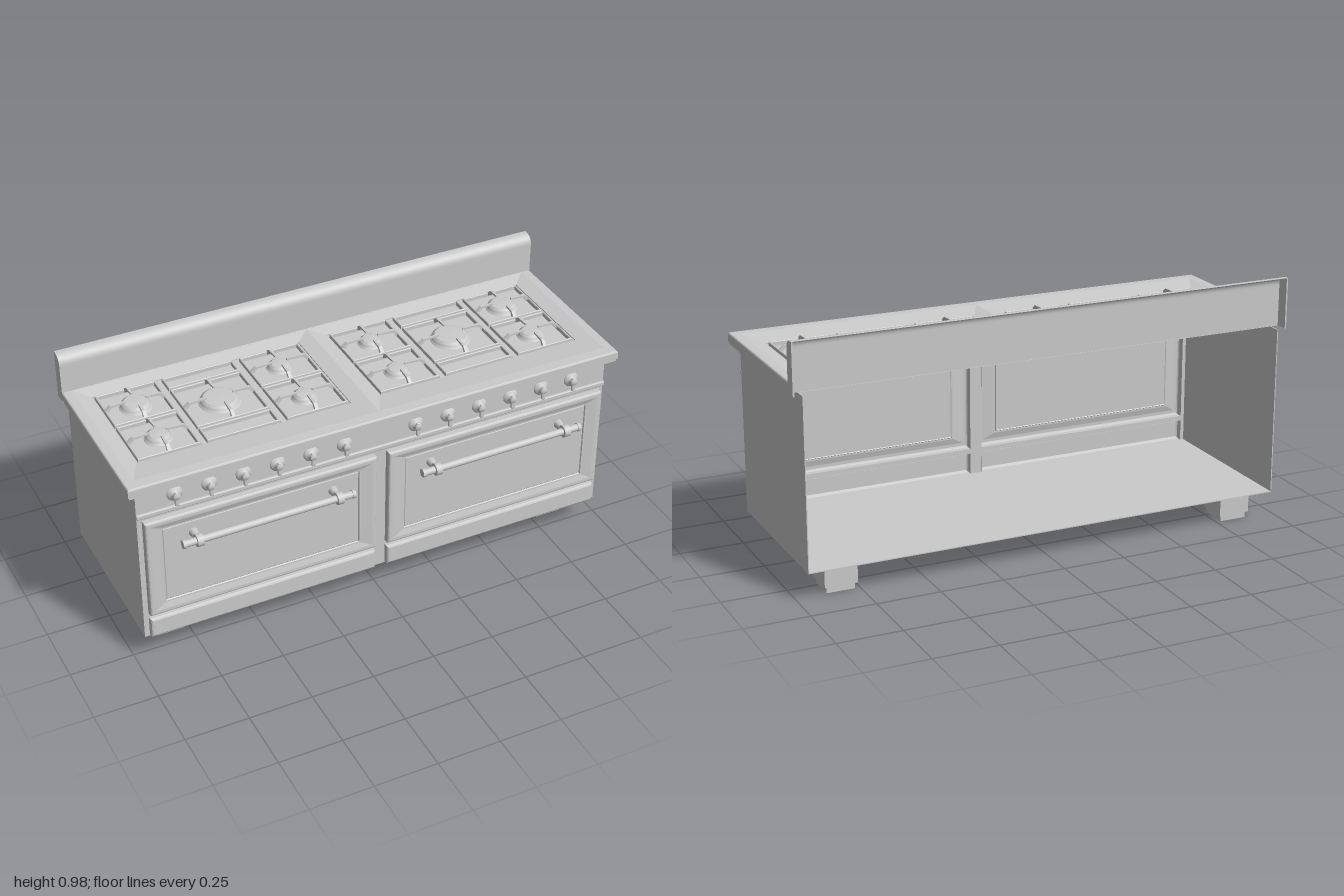
import * as THREE from 'three';
import { RoundedBoxGeometry } from 'three/addons/geometries/RoundedBoxGeometry.js';

const mat = new THREE.MeshStandardMaterial({ color: 0xcccccc, side: THREE.DoubleSide });

function add(parent, name, geo, x = 0, y = 0, z = 0) {
  const m = new THREE.Mesh(geo, mat);
  m.name = name;
  m.position.set(x, y, z);
  parent.add(m);
  return m;
}

// Skin over rectangular sections [a0, a1, b0, b1, h]; upright: a = x, b = z, h = y
function loft(rings, upright = false, cap = true) {
  const pos = [];
  const pts = rings.map(([a0, a1, b0, b1, h]) => {
    const c = upright ? [[a0, b1], [a1, b1], [a1, b0], [a0, b0]] : [[a0, b0], [a1, b0], [a1, b1], [a0, b1]];
    return c.map(([a, b]) => (upright ? [a, h, b] : [a, b, h]));
  });
  const quad = (a, b, c, d) => pos.push(...a, ...b, ...c, ...a, ...c, ...d);
  for (let i = 0; i < pts.length - 1; i++)
    for (let k = 0; k < 4; k++) {
      const n = (k + 1) % 4;
      quad(pts[i][k], pts[i][n], pts[i + 1][n], pts[i + 1][k]);
    }
  if (cap) quad(...pts[pts.length - 1]);
  const g = new THREE.BufferGeometry();
  g.setAttribute('position', new THREE.Float32BufferAttribute(pos, 3));
  g.computeVertexNormals();
  return g;
}

const inset = ([a0, a1, b0, b1], d, h) => [a0 + d, a1 - d, b0 + d, b1 - d, h];
const mirrorRect = ([a0, a1, b0, b1], s) => (s < 0 ? [a0, a1, b0, b1] : [-a1, -a0, b0, b1]);

// Flat plate in the xy plane with rectangular holes
function plate(r, holes) {
  const path = (P, [a0, a1, b0, b1]) =>
    new P([[a0, b0], [a1, b0], [a1, b1], [a0, b1]].map(([x, y]) => new THREE.Vector2(x, y)));
  const shape = path(THREE.Shape, r);
  shape.holes = holes.map((h) => path(THREE.Path, h));
  return new THREE.ShapeGeometry(shape);
}

// Door, drawer, towel-bar handle for one side (s = -1 right, +1 left)
const DOOR = [-0.945, -0.025, 0.22, 0.645], DRAWER = [-0.945, -0.025, 0.115, 0.2];
function addOven(root, s) {
  const g = new THREE.Group();
  g.name = s < 0 ? 'rightOven' : 'leftOven';
  root.add(g);
  const d = mirrorRect(DOOR, s), w = mirrorRect([-0.88, -0.095, 0.27, 0.6], s);
  add(g, 'door', loft([inset(d, 0, 0.293), inset(d, 0, 0.316), inset(d, 0.003, 0.321), inset(d, 0.008, 0.323),
    inset(d, 0.02, 0.323), inset(w, -0.006, 0.317), inset(w, 0, 0.317), inset(w, 0.003, 0.312), inset(w, 0.006, 0.314)]));
  const r = mirrorRect(DRAWER, s);
  add(g, 'drawer', loft([inset(r, 0, 0.293), inset(r, 0, 0.308), inset(r, 0.003, 0.314), inset(r, 0.009, 0.317)]));

  const cx = s * 0.482, y = 0.548, z = 0.368;
  add(g, 'handleBar', new THREE.CylinderGeometry(0.014, 0.014, 0.68, 20).rotateZ(Math.PI / 2), cx, y, z);
  for (const e of [-1, 1]) {
    const bx = cx + e * 0.278;
    add(g, 'handleCollar', new THREE.CylinderGeometry(0.024, 0.024, 0.024, 24).rotateZ(Math.PI / 2), bx, y, z);
    add(g, 'handlePost', new THREE.CylinderGeometry(0.011, 0.018, 0.05, 16).rotateX(Math.PI / 2), bx, y, 0.34);
    add(g, 'handleEnd', new THREE.CylinderGeometry(0.017, 0.017, 0.012, 20).rotateZ(Math.PI / 2), cx + e * 0.336, y, z);
  }
}

// Control knob: bell-shaped base with an upright grip
const knobProfile = [[0.03, 0], [0.03, 0.004], [0.023, 0.009], [0.014, 0.013], [0.012, 0.02], [0.015, 0.024], [0.012, 0.03], [0, 0.031]];
function addKnob(root, x) {
  const g = new THREE.Group();
  g.name = 'knob';
  g.position.set(x, 0.727, 0.295);
  root.add(g);
  add(g, 'knobBase', new THREE.LatheGeometry(knobProfile.map((p) => new THREE.Vector2(...p)), 24).rotateX(Math.PI / 2));
  add(g, 'knobGrip', new RoundedBoxGeometry(0.017, 0.058, 0.011, 2, 0.005), 0, -0.011, 0.022);
}

// Grate finger pointing from its outer end towards the burner, wider outside
function fingerGeometry(inner, outer) {
  const ramp = Math.min(0.02, (outer - inner) * 0.4);
  const s = new THREE.Shape([[outer, 0.803], [outer, 0.814], [outer - ramp, 0.831], [inner, 0.831],
    [inner, 0.824], [outer - ramp - 0.006, 0.822], [outer - 0.009, 0.803]].map((p) => new THREE.Vector2(...p)));
  const g = new THREE.ExtrudeGeometry(s, { depth: 0.01, bevelEnabled: false }).translate(0, 0, -0.005);
  const p = g.attributes.position;
  for (let i = 0; i < p.count; i++)
    p.setZ(i, p.getZ(i) * (0.7 + 0.8 * (p.getX(i) - inner) / (outer - inner)));
  g.computeVertexNormals();
  return g;
}

function addBurner(root, x, z, r, cell) {
  const g = new THREE.Group();
  g.name = 'burner';
  root.add(g);
  const prof = [[r + 0.008, 0], [r + 0.006, 0.004], [r, 0.006], [r, 0.015], [r - 0.006, 0.016], [r - 0.008, 0.021], [r - 0.012, 0.023], [0, 0.024]];
  add(g, 'burnerCap', new THREE.LatheGeometry(prof.map((p) => new THREE.Vector2(...p)), 32), x, 0.797, z);
  // reach to each edge of the cell: +x, -z, -x, +z
  [cell[1] - x, z - cell[2], x - cell[0], cell[3] - z].forEach((reach, k) => {
    add(g, 'grateFinger', fingerGeometry(r * 0.72, reach - 0.002), x, 0, z).rotation.y = (k * Math.PI) / 2;
  });
}

// Sunken hob for one side with pans, grate frames and burners
function addHob(root, s) {
  const g = new THREE.Group();
  g.name = s < 0 ? 'rightHob' : 'leftHob';
  root.add(g);
  const well = mirrorRect([-0.905, -0.06, -0.282, 0.172], s);
  add(g, 'slopedRim', loft([[...mirrorRect([-0.962, 0, -0.338, 0.283], s), 0.82], [...well, 0.807], [...well, 0.803]], true, false));

  const columns = [[-0.9, -0.653], [-0.633, -0.34], [-0.317, -0.065]].map(([a, b]) => mirrorRect([a, b, -0.278, 0.168], s));
  const flip = ([a0, a1, z0, z1]) => [a0, a1, -z1, -z0];
  add(g, 'wellFloor', plate(flip(well), columns.map(flip)).rotateX(-Math.PI / 2), 0, 0.803, 0);
  columns.forEach((c) => add(g, 'pan', loft([inset(c, 0, 0.803), inset(c, 0.004, 0.797)], true)));

  const rows = [[[-0.275, -0.065], [-0.055, 0.165]], [[-0.275, -0.202], [-0.192, 0.072], [0.082, 0.165]], [[-0.275, -0.065], [-0.055, 0.165]]];
  const burners = [
    [[-0.775, -0.17, 0.055], [-0.775, 0.053, 0.045]],
    [null, [-0.485, -0.062, 0.072], null],
    [[-0.193, -0.17, 0.042], [-0.193, 0.053, 0.043]],
  ];
  rows.forEach((list, i) => list.forEach(([z0, z1], j) => {
    const cell = [columns[i][0] + 0.003, columns[i][1] - 0.003, z0, z1];
    add(g, 'grateFrame', loft([inset(cell, 0, 0.797), inset(cell, 0, 0.812), inset(cell, 0.002, 0.814),
      inset(cell, 0.006, 0.814), inset(cell, 0.008, 0.812), inset(cell, 0.008, 0.797)], true, false));
    const b = burners[i][j];
    if (b) addBurner(g, -s * b[0], b[1], b[2], cell);
  }));
}

export function createModel() {
  const root = new THREE.Group();
  root.name = 'rangeCooker';

  // Open-backed cabinet
  for (const s of [-1, 1]) add(root, 'sidePanel', new THREE.BoxGeometry(0.004, 0.665, 0.685), s * 0.963, 0.4425, -0.0475);
  add(root, 'bottomPanel', new THREE.BoxGeometry(1.93, 0.004, 0.685), 0, 0.112, -0.0475);
  const holes = [-1, 1].flatMap((s) => [mirrorRect(DOOR, s), mirrorRect(DRAWER, s)]);
  add(root, 'frontFrame', plate([-0.965, 0.965, 0.11, 0.775], holes), 0, 0, 0.295);
  add(root, 'trimRail', new RoundedBoxGeometry(1.934, 0.02, 0.014, 2, 0.005), 0, 0.667, 0.298);

  for (const s of [-1, 1]) {
    addOven(root, s);
    addHob(root, s);
    for (const x of [0.147, 0.282, 0.416, 0.55, 0.683, 0.816]) addKnob(root, s * x);
  }

  // Cooktop edge and flat border around the two hobs
  const rim = [-1, 1, -0.34, 0.33];
  add(root, 'cooktopEdge', loft([[-0.965, 0.965, -0.34, 0.295, 0.775], inset(rim, 0.004, 0.775), inset(rim, 0.004, 0.783),
    inset(rim, 0, 0.786), inset(rim, 0, 0.814), inset(rim, 0.002, 0.818), inset(rim, 0.006, 0.82)], true, false));
  const border = plate([-0.994, 0.994, -0.324, 0.34], [[-0.962, -0.0001, -0.283, 0.338], [0.0001, 0.962, -0.283, 0.338]]);
  add(root, 'cooktopBorder', border.rotateX(-Math.PI / 2), 0, 0.82, 0);

  // Backsplash: curved sheet with end caps, open behind
  const profile = [[-0.39, 0.975], [-0.375, 0.975]];
  for (let i = 1; i <= 8; i++) {
    const a = (i / 8) * Math.PI / 2;
    profile.push([-0.375 + 0.035 * Math.sin(a), 0.94 + 0.035 * Math.cos(a)]);
  }
  profile.push([-0.34, 0.93], [-0.34, 0.776]);
  const sheet = new THREE.PlaneGeometry(2, 1, 1, profile.length - 1);
  const p = sheet.attributes.position;
  for (let i = 0; i < p.count; i++) {
    const [z, y] = profile[Math.floor(i / 2)];
    p.setXYZ(i, p.getX(i), y, z);
  }
  sheet.computeVertexNormals();
  add(root, 'backsplash', sheet);
  const end = new THREE.Shape([...profile, [-0.39, 0.776]].map(([z, y]) => new THREE.Vector2(-z, y)));
  for (const s of [-1, 1])
    add(root, 'backsplashEnd', new THREE.ExtrudeGeometry(end, { depth: 0.006, bevelEnabled: false }).rotateY(Math.PI / 2), s * 0.997 - 0.003, 0, 0);

  // Stepped feet, hollow underneath
  const sq = (h, y) => [-h, h, -h, h, y];
  for (const x of [-0.825, 0.825])
    for (const z of [0.133, -0.282])
      add(root, 'foot', loft([sq(0, 0.05), sq(0.04, 0.05), sq(0.05, 0), sq(0.055, 0), sq(0.055, 0.025), sq(0.064, 0.025), sq(0.064, 0.11)], true), x, 0, z);

  return root;
}
